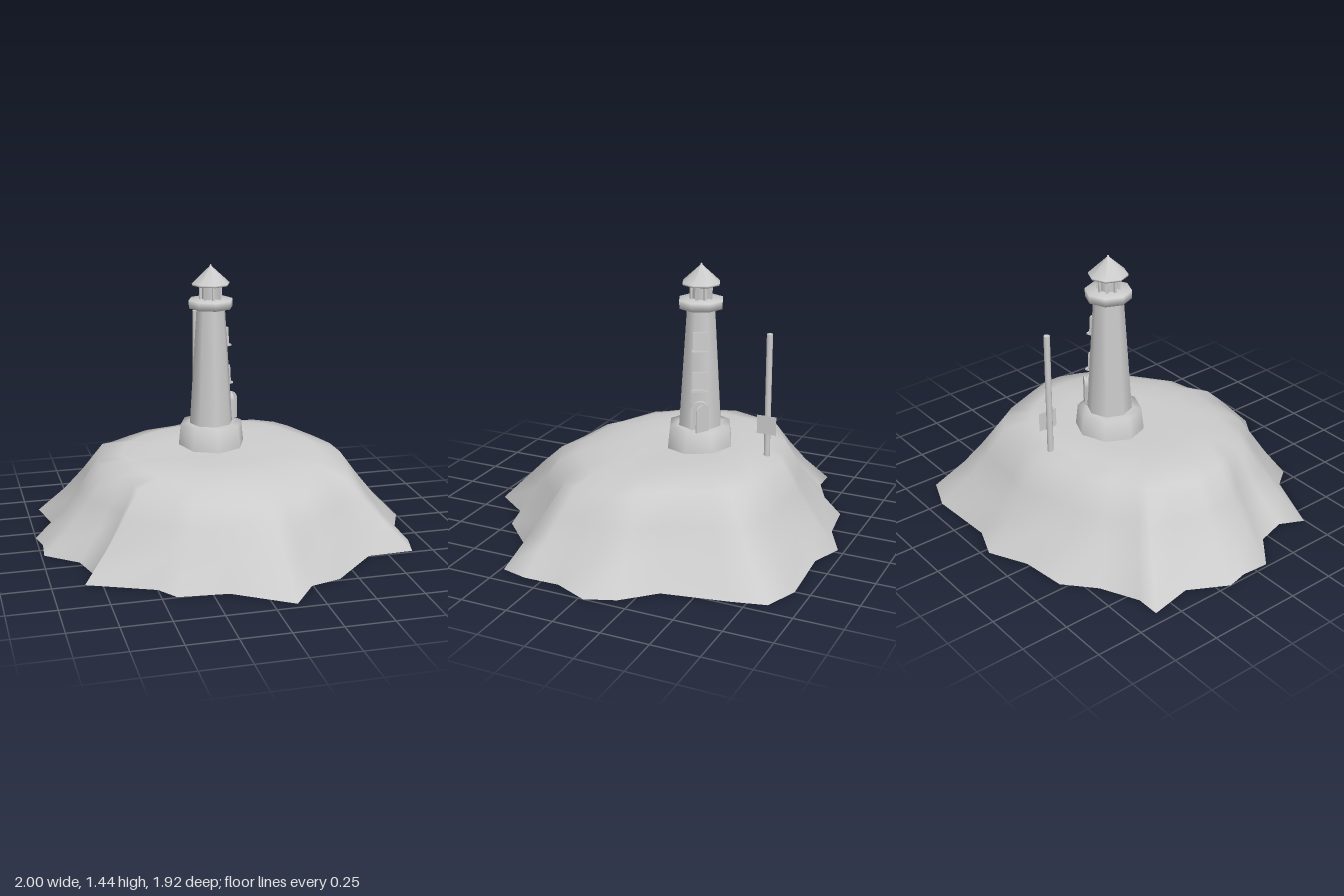
import * as THREE from 'three';

const stone = new THREE.MeshStandardMaterial({ color: 0xcccccc, side: THREE.DoubleSide });
stone.name = 'paleGrey';

function add(parent, name, geometry, x = 0, y = 0, z = 0) {
  const mesh = new THREE.Mesh(geometry, stone);
  mesh.name = name;
  mesh.position.set(x, y, z);
  parent.add(mesh);
  return mesh;
}

// Smooth-shaded turned part from radius, height pairs (bottom to top)
function turned(parent, name, profile, sides = 8) {
  const points = profile.map(([r, y]) => new THREE.Vector2(r, y));
  return add(parent, name, new THREE.LatheGeometry(points, sides));
}

// Shoreline of the island, as x, z pairs
const SHORE = [
  [-0.03, -0.965], [0.14, -0.9], [0.5, -0.92], [0.68, -0.85], [0.725, -0.67], [0.79, -0.335],
  [0.94, -0.18], [1, -0.025], [0.92, 0.155], [0.925, 0.345], [0.89, 0.485], [0.645, 0.495],
  [0.405, 0.735], [0.245, 0.78], [0.115, 0.96], [-0.17, 0.77], [-0.425, 0.745], [-0.5, 0.64],
  [-0.835, 0.495], [-0.775, 0.37], [-0.82, 0.21], [-0.985, 0.075], [-0.975, -0.07], [-1, -0.18],
  [-0.89, -0.38], [-0.935, -0.605], [-0.81, -0.605], [-0.615, -0.7], [-0.465, -0.835], [-0.23, -0.865],
];

// Hollow hill: the shoreline shrinks and smooths out ring by ring, sloping more gently in front
function hillGeometry() {
  const n = SHORE.length;
  const radius = SHORE.map(([x, z]) => Math.hypot(x, z));
  const rings = [ // scale, height, smoothing, front drop
    [1, 0, 0, 0], [0.86, 0.15, 0.15, 0], [0.77, 0.275, 0.35, 0.03], [0.675, 0.425, 0.6, 0.12],
    [0.54, 0.455, 0.8, 0.1], [0.38, 0.462, 0.9, 0.05], [0.2, 0.458, 1, 0],
  ];
  const pos = [];
  for (const [scale, height, smooth, drop] of rings) {
    for (let j = 0; j < n; j++) {
      let mean = 0;
      for (let k = -2; k <= 2; k++) mean += radius[(j + k + n) % n] / 5;
      const s = scale * THREE.MathUtils.lerp(1, mean / radius[j], smooth);
      const x = SHORE[j][0] * s, z = SHORE[j][1] * s;
      const y = height - drop * Math.max(0, z + 0.25 * x) + 0.04 * smooth * Math.max(0, -z);
      pos.push(x, y, z);
    }
  }
  pos.push(0, 0.456, 0);
  const index = [], top = rings.length * n;
  for (let i = 0; i < rings.length; i++) {
    for (let j = 0; j < n; j++) {
      const a = i * n + j, a2 = i * n + (j + 1) % n;
      if (i === rings.length - 1) index.push(a, top, a2);
      else index.push(a, a + n, a2, a2, a + n, a2 + n);
    }
  }
  const g = new THREE.BufferGeometry();
  g.setAttribute('position', new THREE.Float32BufferAttribute(pos, 3));
  g.setIndex(index);
  g.computeVertexNormals();
  return g;
}

// Outline with a round or flat head, standing on y = y0
function opening(w, h, arched, Type = THREE.Shape, y0 = 0) {
  const s = new Type();
  s.moveTo(-w / 2, y0);
  s.lineTo(w / 2, y0);
  if (arched) s.absarc(0, h - w / 2, w / 2, 0, Math.PI, false);
  else { s.lineTo(w / 2, h); s.lineTo(-w / 2, h); }
  s.closePath();
  return s;
}

// Extruded outline facing +x
function extrudeX(shape, depth) {
  return new THREE.ExtrudeGeometry(shape, { depth, bevelEnabled: false, curveSegments: 8 })
    .rotateY(Math.PI / 2);
}

function frame(w, h, t, arched, depth) {
  const s = opening(w, h, arched);
  s.holes.push(opening(w - 2 * t, h - t, arched, THREE.Path, arched ? 0.002 : t));
  return extrudeX(s, depth);
}

export function createModel() {
  const model = new THREE.Group();
  model.name = 'lighthouseIsland';
  add(model, 'hill', hillGeometry());

  // Tower
  const tower = new THREE.Group();
  tower.name = 'lighthouse';
  tower.position.set(-0.03, 0, -0.18);
  model.add(tower);
  turned(tower, 'base', [[0.182, 0.45], [0.168, 0.58], [0.11, 0.582]]);
  turned(tower, 'towerShaft', [[0.118, 0.575], [0.077, 1.215]]);
  turned(tower, 'gallery', [[0.07, 1.21], [0.118, 1.212], [0.12, 1.256], [0.04, 1.26]]);

  // Lantern room
  turned(tower, 'lantern', [[0.046, 1.255], [0.046, 1.338]]);
  for (let i = 0; i < 8; i++) {
    const a = i * Math.PI / 4;
    add(tower, 'lanternPost', new THREE.BoxGeometry(0.012, 0.08, 0.012),
      Math.sin(a) * 0.055, 1.297, Math.cos(a) * 0.055).rotation.y = a;
  }
  turned(tower, 'roof', [[0.04, 1.332], [0.1, 1.333], [0.102, 1.343], [0.006, 1.432], [0.004, 1.441], [0, 1.441]]);

  // Openings on one face of the tower
  const face = new THREE.Group();
  face.name = 'towerFace';
  face.rotation.y = Math.PI / 8;
  tower.add(face);
  const wallX = (y) => 0.109 - 0.06 * (y - 0.58);
  for (const y of [0.79, 1.0]) {
    const win = new THREE.Group();
    win.name = 'window';
    win.position.set(wallX(y), y, 0);
    win.rotation.z = 0.06;
    face.add(win);
    add(win, 'windowFrame', frame(0.076, 0.1, 0.008, false, 0.015), -0.005);
    add(win, 'windowPane', new THREE.BoxGeometry(0.006, 0.09, 0.064), 0.003, 0.05, 0);
    add(win, 'windowSill', new THREE.BoxGeometry(0.024, 0.009, 0.084), 0.01, 0, 0);
  }

  // Arched doorway with the door ajar
  const doorway = new THREE.Group();
  doorway.name = 'doorway';
  doorway.position.set(wallX(0.58), 0.58, 0);
  face.add(doorway);
  add(doorway, 'doorFrame', frame(0.096, 0.157, 0.014, true, 0.022), -0.01);
  const leaf = extrudeX(opening(0.074, 0.144, true), 0.008).translate(0, 0, 0.037);
  const door = add(doorway, 'door', leaf, 0.006, 0.002, -0.04);
  door.rotation.y = 0.65;

  // Signpost behind the tower
  const post = new THREE.Group();
  post.name = 'signpost';
  post.position.set(-0.027, 0, -0.56);
  model.add(post);
  add(post, 'pole', new THREE.CylinderGeometry(0.016, 0.016, 0.915, 12), 0, 0.6575, 0);
  add(post, 'signBoard', new THREE.PlaneGeometry(0.105, 0.1).rotateY(Math.PI / 2), 0.016, 0.632, 0);

  return model;
}
